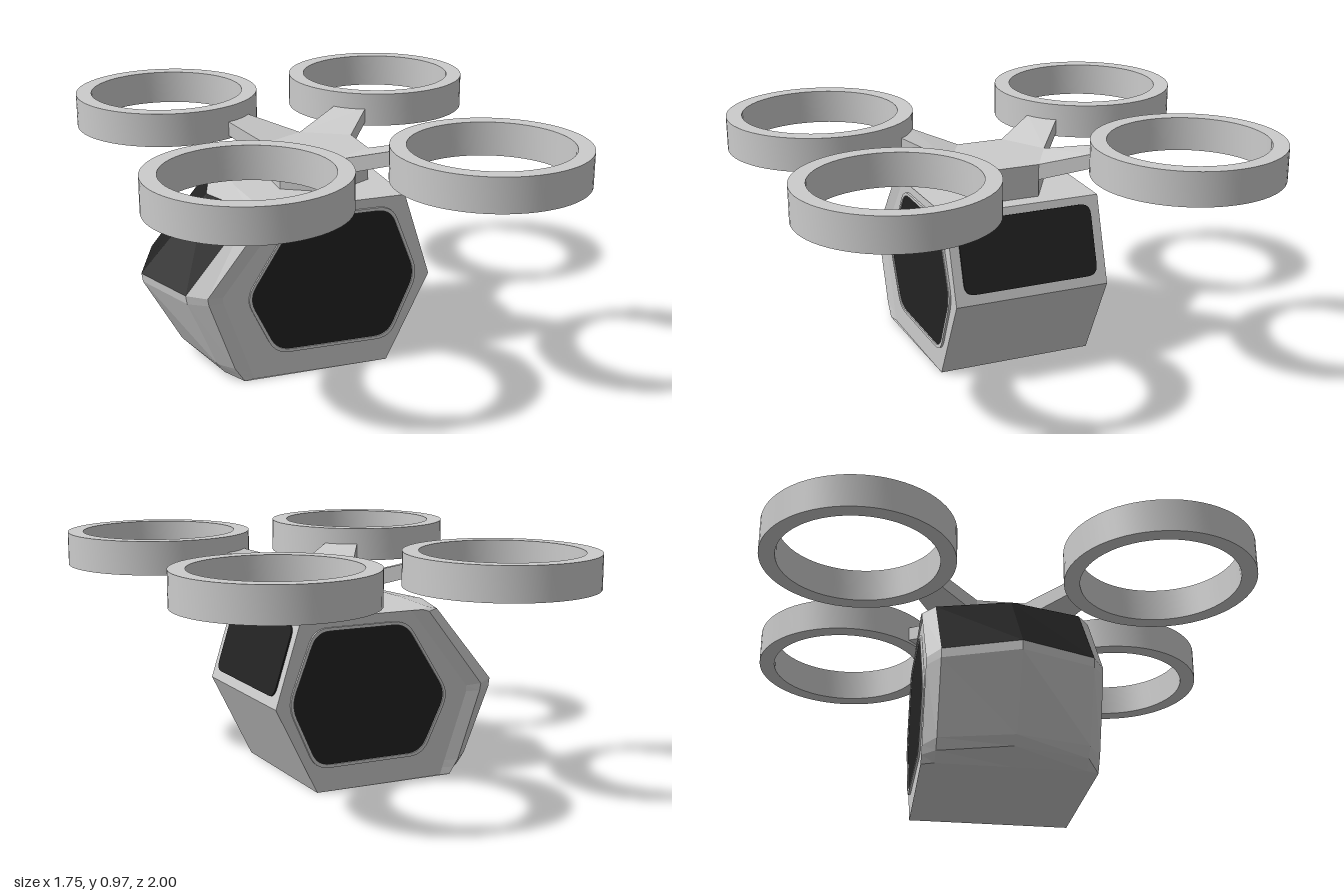
import * as THREE from 'three';
import { toCreasedNormals } from 'three/addons/utils/BufferGeometryUtils.js';

const grey = new THREE.MeshStandardMaterial({ color: 0xcccccc, flatShading: true });
const smoothGrey = new THREE.MeshStandardMaterial({ color: 0xcccccc });
const black = new THREE.MeshStandardMaterial({ color: 0x222222, flatShading: true });

function mesh(name, geometry, material) {
  const m = new THREE.Mesh(geometry, material);
  m.name = name;
  return m;
}

// Flat-shaded geometry from a list of corner triples
function fromTriangles(tris) {
  const pts = tris.filter(t => new THREE.Triangle(...t).getArea() > 1e-7).flat();
  const g = new THREE.BufferGeometry().setFromPoints(pts);
  g.computeVertexNormals();
  return g;
}

// Closed outline with rounded corners, r = distance cut from each corner
function rounded(points, r, Type = THREE.Shape) {
  const v = points.map(p => new THREE.Vector2(...p));
  const path = new Type();
  v.forEach((p, i) => {
    const prev = v[(i + v.length - 1) % v.length], next = v[(i + 1) % v.length];
    const a = p.clone().add(prev.clone().sub(p).setLength(r));
    const b = p.clone().add(next.clone().sub(p).setLength(r));
    if (i === 0) path.moveTo(a.x, a.y); else path.lineTo(a.x, a.y);
    path.quadraticCurveTo(p.x, p.y, b.x, b.y);
  });
  path.closePath();
  return path;
}

const extrude = (shape, depth, curveSegments = 6) =>
  new THREE.ExtrudeGeometry(shape, { depth, curveSegments, bevelEnabled: false });

// Hexagonal cabin with a V-shaped nose, lofted across z
function buildCabin() {
  const right = [[0.18, 0], [0.36, 0.36], [0.25, 0.71]];
  const noses = [
    [0, [[-0.36, 0.71], [-0.48, 0.69], [-0.76, 0.38], [-0.755, 0.345], [-0.6, 0.07], [-0.56, 0.04], [-0.45, 0]]],
    [0.29, [[-0.34, 0.71], [-0.385, 0.7], [-0.65, 0.38], [-0.645, 0.345], [-0.53, 0.07], [-0.5, 0.03], [-0.45, 0]]],
    [0.34, [[-0.29, 0.71], [-0.32, 0.7], [-0.575, 0.375], [-0.57, 0.345], [-0.47, 0.06], [-0.45, 0.03], [-0.43, 0]]],
    [0.33, [[-0.24, 0.71], [-0.25, 0.7], [-0.51, 0.37], [-0.51, 0.345], [-0.41, 0.06], [-0.4, 0.03], [-0.39, 0]]],
  ];
  const section = ([z, nose], side) => [
    ...right.map(([x, y]) => new THREE.Vector3(x, y, side * Math.min(z, 0.33))),
    ...nose.map(([x, y]) => new THREE.Vector3(x, y, side * z)),
  ];
  const loops = [
    ...noses.slice(1).reverse().map(n => section(n, -1)),
    ...noses.map(n => section(n, 1)),
  ];
  const body = [], screen = [];
  for (let s = 0; s < loops.length - 1; s++) {
    for (let i = 0; i < 10; i++) {
      const j = (i + 1) % 10;
      const [a, b, c, d] = [loops[s][i], loops[s][j], loops[s + 1][j], loops[s + 1][i]];
      const target = i === 4 && (s === 2 || s === 3) ? screen : body;
      target.push([a, b, c], [a, c, d]);
    }
  }
  // Flat side walls
  const back = loops[0], front = loops[loops.length - 1];
  for (let i = 1; i < 9; i++) {
    body.push([front[0], front[i], front[i + 1]], [back[0], back[i + 1], back[i]]);
  }
  const g = new THREE.Group();
  g.name = 'cabin';
  g.add(mesh('cabinShell', fromTriangles(body), grey), mesh('windshield', fromTriangles(screen), black));
  return g;
}

// Hexagonal side window with a thin raised frame
function buildSideWindows() {
  const group = new THREE.Group();
  group.name = 'sideWindows';
  const hex = [[-0.42, 0.35], [-0.3, 0.1], [0.19, 0.1], [0.31, 0.37], [0.195, 0.67], [-0.22, 0.67]];
  const inner = hex.map(([x, y]) => [-0.055 + (x + 0.055) * 0.965, 0.385 + (y - 0.385) * 0.955]);
  const frameShape = rounded(hex, 0.06);
  frameShape.holes.push(rounded(inner, 0.058, THREE.Path));
  const frameGeo = extrude(frameShape, 0.014);
  const glassGeo = extrude(rounded(inner, 0.058), 0.009);
  for (const side of [1, -1]) {
    const frame = mesh('sideWindowFrame', frameGeo, grey);
    const glass = mesh('sideWindow', glassGeo, black);
    frame.position.z = side > 0 ? 0.325 : -0.339;
    glass.position.z = side > 0 ? 0.325 : -0.334;
    group.add(frame, glass);
  }
  return group;
}

// Rounded rectangular window on the sloping end wall
function buildEndWindow() {
  const w = 0.29, h = 0.147;
  const m = mesh('endWindow', extrude(rounded([[-w, -h], [w, -h], [w, h], [-w, h]], 0.045), 0.008), black);
  m.rotation.order = 'ZYX';
  m.rotation.set(0, Math.PI / 2, Math.atan2(0.11, 0.35));
  m.position.set(0.302, 0.539, 0);
  return m;
}

// Hexagonal hub standing on the roof
function buildHub() {
  const shape = new THREE.Shape(
    [[-0.2, -0.1], [-0.01, -0.21], [0.18, -0.1], [0.18, 0.1], [-0.01, 0.21], [-0.2, 0.1]]
      .map(p => new THREE.Vector2(...p)));
  const m = mesh('rotorHub', extrude(shape, 0.14).rotateX(-Math.PI / 2), grey);
  m.position.y = 0.705;
  return m;
}

// Tapered arm from a hub side up to its ring
function buildArm(sx, sz) {
  const rootX = sx > 0 ? 0.18 : -0.2;
  const plan = [[-0.01, 0.21], [rootX, 0.1], [sx * 0.31, 0.27], [sx * 0.2, 0.355]];
  const at = (y0, y1) => plan.map(([x, z], i) => new THREE.Vector3(x, i < 2 ? y0 : y1, sz * z));
  const lo = at(0.78, 0.845), hi = at(0.845, 0.905);
  const quads = [[hi[0], hi[1], hi[2], hi[3]], [lo[3], lo[2], lo[1], lo[0]]];
  for (let i = 0; i < 4; i++) {
    const j = (i + 1) % 4;
    quads.push([lo[i], lo[j], hi[j], hi[i]]);
  }
  // Mirrored arms need the reverse corner order
  const flip = sx * sz < 0;
  const tris = quads.flatMap(([a, b, c, d]) =>
    flip ? [[a, c, b], [a, d, c]] : [[a, b, c], [a, c, d]]);
  const top = new THREE.Triangle(...tris[0]).getNormal(new THREE.Vector3());
  if (top.y < 0) tris.forEach(t => t.reverse());
  return mesh('rotorArm', fromTriangles(tris), grey);
}

// Open rotor rings
function buildRingGeometry() {
  const shape = new THREE.Shape().absarc(0, 0, 0.39, 0, Math.PI * 2);
  shape.holes.push(new THREE.Path().absarc(0, 0, 0.325, 0, Math.PI * 2, true));
  return toCreasedNormals(extrude(shape, 0.14, 32).rotateX(-Math.PI / 2), 0.6);
}

export function createModel() {
  const model = new THREE.Group();
  model.name = 'ringRotorAircraft';
  model.add(buildCabin(), buildSideWindows(), buildEndWindow(), buildHub());
  const ringGeo = buildRingGeometry();
  for (const sx of [-1, 1]) {
    for (const sz of [-1, 1]) {
      const ring = mesh('rotorRing', ringGeo, smoothGrey);
      ring.position.set(sx * 0.485, 0.83, sz * 0.61);
      model.add(buildArm(sx, sz), ring);
    }
  }
  return model;
}
